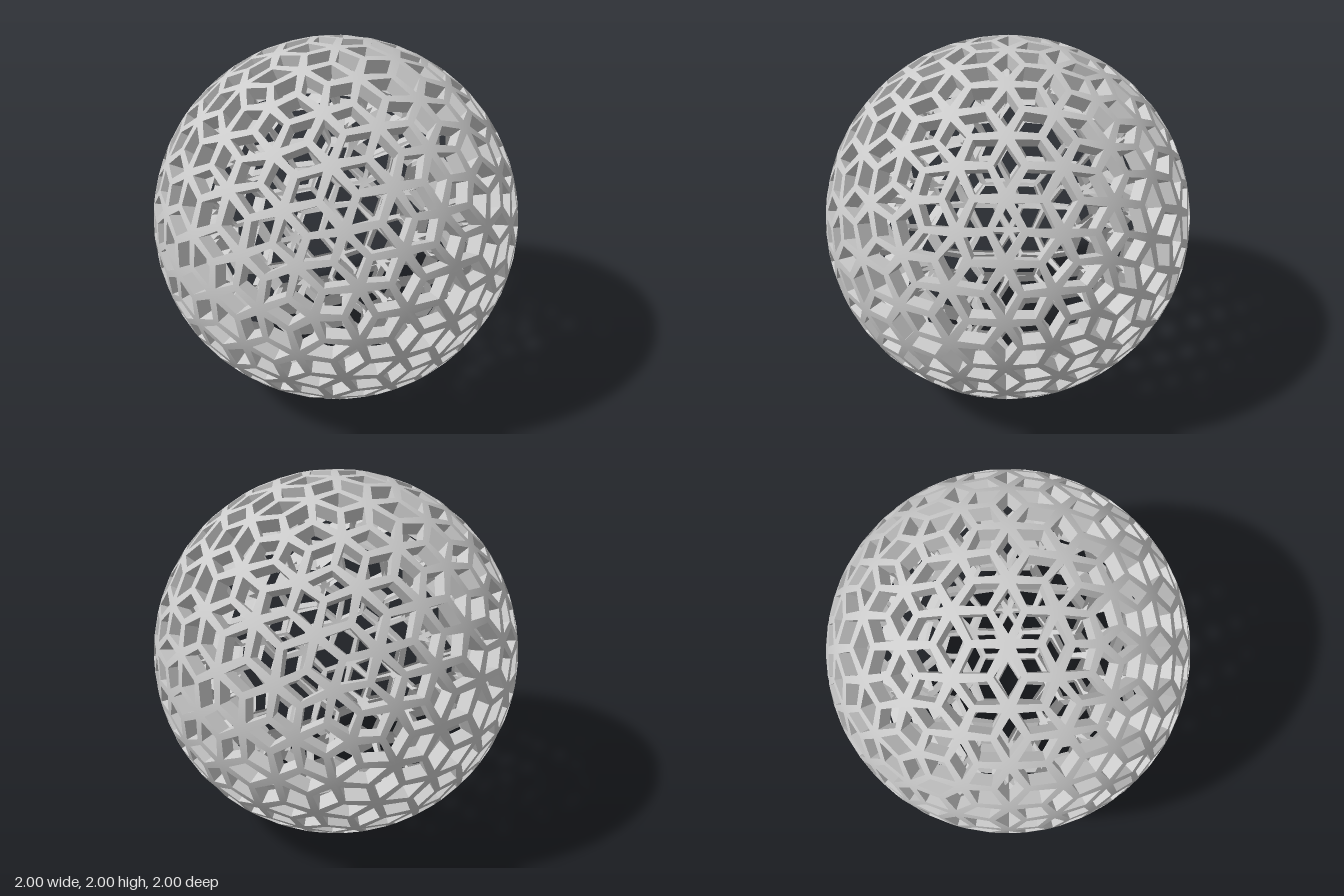
import * as THREE from 'three';

const LONG = 0.7, SHORT = 0.76;  // hole size along the two diagonals of its rhombus
const DEPTH = 0.085;             // how far the hole walls reach inward

export function createModel() {
  const group = new THREE.Group();
  group.name = 'latticeSphere';

  const key = (v) => v.toArray().map((n) => Math.round(n * 1000) + 0).join();
  const middle = (...v) => v.reduce((s, p) => s.add(p), new THREE.Vector3()).normalize();

  const outer = { p: [], n: [] };
  const walls = { p: [], n: [] };
  const quad = (out, corners, normals) => {
    for (const i of [0, 1, 2, 0, 2, 3]) {
      out.p.push(...corners[i].toArray());
      out.n.push(...normals[i].toArray());
    }
  };

  // One rhombus: four struts on the sphere around a hole cut straight inward
  const rhombus = (c) => {
    const axis = middle(...c);
    const centre = c.reduce((s, v) => s.add(v), new THREE.Vector3()).divideScalar(4);
    const hole = c.map((v, i) => centre.clone().lerp(v, i % 2 ? SHORT : LONG).normalize());
    const inner = hole.map((v) => v.clone().addScaledVector(axis, -DEPTH));
    for (let i = 0; i < 4; i++) {
      const j = (i + 1) % 4;
      const top = [c[i], c[j], hole[j], hole[i]];
      quad(outer, top, top);
      const n = axis.clone().cross(hole[j].clone().sub(hole[i])).normalize();
      quad(walls, [hole[i], hole[j], inner[j], inner[i]], [n, n, n, n]);
    }
  };

  // Every triangle edge becomes the long diagonal of a rhombus
  const seen = new Map();
  const triangle = (...tri) => {
    const mid = middle(...tri);
    for (let k = 0; k < 3; k++) {
      const a = tri[k], b = tri[(k + 1) % 3];
      const other = seen.get(key(b) + '|' + key(a));
      if (other) rhombus([a, other, b, mid]);
      else seen.set(key(a) + '|' + key(b), mid);
    }
  };

  // Geodesic sphere: the halved icosahedron, with each triangle halved again
  const pos = new THREE.IcosahedronGeometry(1, 1).rotateZ(Math.PI / 2).attributes.position;
  for (let t = 0; t < pos.count; t += 3) {
    const [a, b, c] = [0, 1, 2].map((k) => new THREE.Vector3().fromBufferAttribute(pos, t + k));
    const ab = middle(a, b), bc = middle(b, c), ca = middle(c, a);
    triangle(a, ab, ca);
    triangle(ab, b, bc);
    triangle(ca, bc, c);
    triangle(ab, bc, ca);
  }

  const material = new THREE.MeshStandardMaterial({ color: 0xcccccc, side: THREE.DoubleSide });
  for (const [name, data] of [['strutSurface', outer], ['holeWalls', walls]]) {
    const g = new THREE.BufferGeometry();
    g.setAttribute('position', new THREE.Float32BufferAttribute(data.p, 3));
    g.setAttribute('normal', new THREE.Float32BufferAttribute(data.n, 3));
    const mesh = new THREE.Mesh(g, material);
    mesh.name = name;
    mesh.position.y = 1;
    group.add(mesh);
  }
  return group;
}
